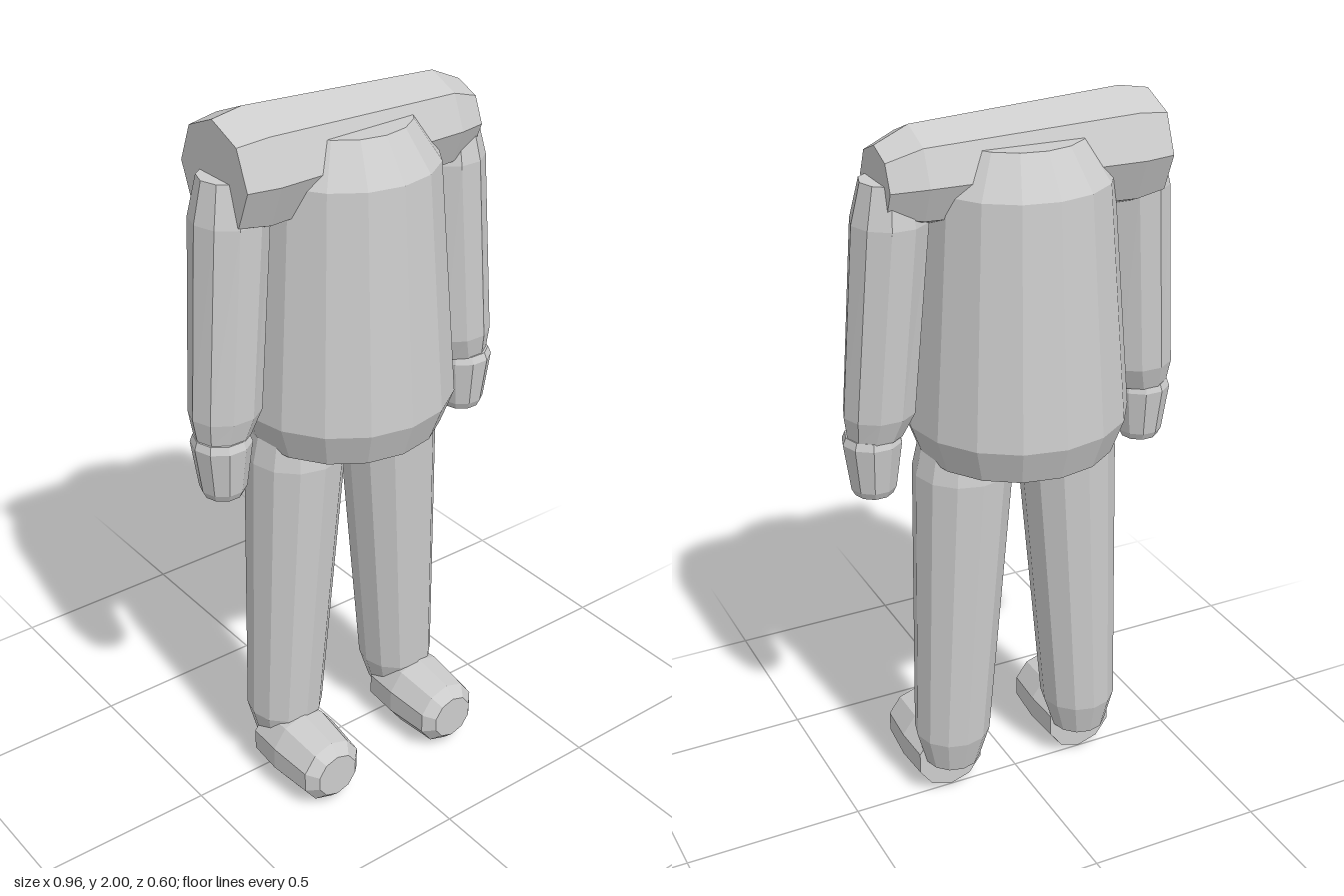
import * as THREE from 'three';

// Faceted closed solid through rings [cx, cy, cz, ru, rv], listed in the + direction of the axis.
// Ring planes: axis x -> (y, z), axis y -> (z, x), axis z -> (x, y).
function loft(axis, sides, rings, phase = 0) {
  const u = (axis + 1) % 3, v = (axis + 2) % 3;
  const pos = [], index = [];
  for (const [x, y, z, ru, rv = ru] of rings) {
    for (let i = 0; i < sides; i++) {
      const a = ((i + phase) / sides) * Math.PI * 2;
      const p = [x, y, z];
      p[u] += Math.cos(a) * ru;
      p[v] += Math.sin(a) * rv;
      pos.push(...p);
    }
  }
  for (let r = 0; r < rings.length - 1; r++) {
    for (let i = 0; i < sides; i++) {
      const j = (i + 1) % sides;
      const a = r * sides + i, b = r * sides + j;
      index.push(a, b, b + sides, a, b + sides, a + sides);
    }
  }
  // end caps
  const top = (rings.length - 1) * sides;
  for (let i = 1; i < sides - 1; i++) {
    index.push(0, i + 1, i, top, top + i, top + i + 1);
  }
  const geo = new THREE.BufferGeometry();
  geo.setAttribute('position', new THREE.Float32BufferAttribute(pos, 3));
  geo.setIndex(index);
  const flat = geo.toNonIndexed();
  flat.computeVertexNormals();
  return flat;
}

export function createModel() {
  const model = new THREE.Group();
  model.name = 'headlessFigure';
  const grey = new THREE.MeshStandardMaterial({ color: 0xcccccc, flatShading: true });
  grey.name = 'light grey';

  const add = (name, geometry) => {
    const mesh = new THREE.Mesh(geometry, grey);
    mesh.name = name;
    model.add(mesh);
  };

  // barrel-shaped torso, flared at the hem
  add('torso', loft(1, 16, [
    [0, 1.08, 0, 0.265], [0, 1.175, 0, 0.3], [0, 1.81, 0, 0.25], [0, 1.915, 0, 0.178],
  ]));

  // shoulder roll, thicker on the right
  add('shoulders', loft(0, 8, [
    [-0.375, 1.845, 0, 0.14], [-0.29, 1.845, 0, 0.155],
    [0.285, 1.845, 0, 0.127], [0.375, 1.837, 0, 0.095],
  ]));

  for (const [side, s] of [['left', 1], ['right', -1]]) {
    // arm leaning out and slightly forward, then the hand
    add(side + 'Arm', loft(1, 10, [
      [s * 0.393, 1.165, 0.022, 0.07, 0.075], [s * 0.38, 1.23, 0.018, 0.088, 0.097],
      [s * 0.34, 1.74, 0.005, 0.1], [s * 0.338, 1.845, 0.003, 0.076],
    ], 0.5));
    add(side + 'Hand', loft(1, 10, [
      [s * 0.4, 1.0, 0.027, 0.052], [s * 0.4, 1.02, 0.027, 0.062],
      [s * 0.4, 1.15, 0.026, 0.08], [s * 0.4, 1.17, 0.025, 0.072],
    ], 0.5));

    // leg, tapering to a rounded ankle
    add(side + 'Leg', loft(1, 12, [
      [s * 0.205, 0.112, -0.005, 0.078], [s * 0.202, 0.21, -0.002, 0.107],
      [s * 0.155, 1.03, 0.003, 0.135], [s * 0.15, 1.14, 0.003, 0.115],
    ]));

    // stubby foot with a blunt toe
    add(side + 'Foot', loft(2, 10, [
      [s * 0.21, 0.11, -0.005, 0.1], [s * 0.21, 0.113, 0.1, 0.108],
      [s * 0.21, 0.108, 0.23, 0.095], [s * 0.21, 0.108, 0.26, 0.065],
    ], 0.5));
  }
  return model;
}
